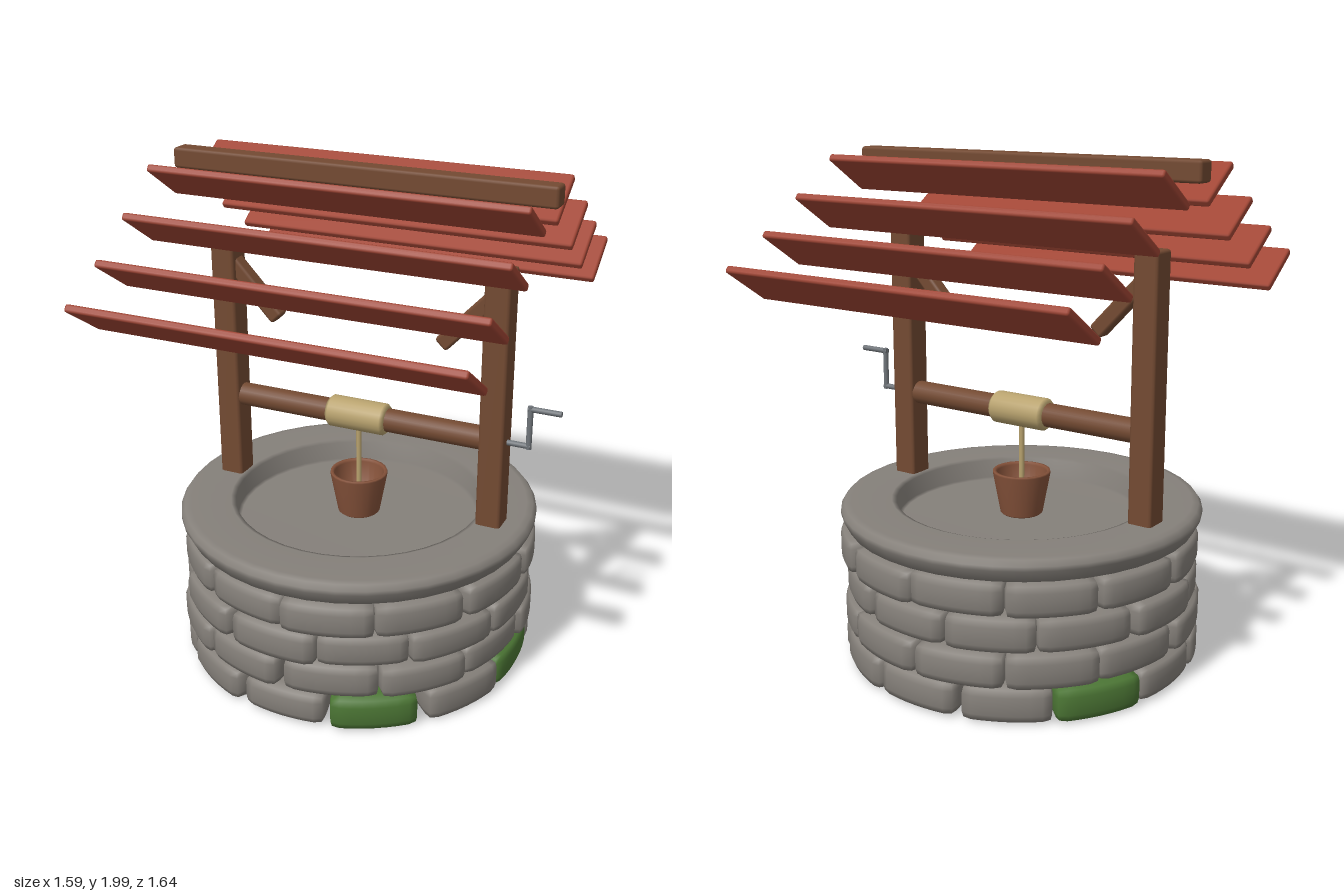
import * as THREE from 'three';
import { mergeVertices } from 'three/addons/utils/BufferGeometryUtils.js';
import { RoundedBoxGeometry } from 'three/addons/geometries/RoundedBoxGeometry.js';

const paint = (name, color) => Object.assign(new THREE.MeshStandardMaterial({ color }), { name });
const V2 = (x, y) => new THREE.Vector2(x, y);

// Small seeded generator, returns -1..1
function seeded(seed) {
  return () => {
    seed = (seed * 16807) % 2147483647;
    return (seed / 2147483647) * 2 - 1;
  };
}

// Rounded stone block, bent around the well's axis; its middle lies at radius r
function stoneGeometry(width, height, depth, r, round) {
  let g = new THREE.BoxGeometry(width, height, depth, 8, 4, 4);
  g.deleteAttribute('uv');
  g.deleteAttribute('normal');
  g = mergeVertices(g);
  const half = new THREE.Vector3(width, height, depth).multiplyScalar(0.5);
  const inner = half.clone().subScalar(round);
  const low = inner.clone().negate();
  const p = new THREE.Vector3(), core = new THREE.Vector3();
  const pos = g.attributes.position;
  for (let i = 0; i < pos.count; i++) {
    p.fromBufferAttribute(pos, i);
    core.copy(p).clamp(low, inner);
    p.sub(core);
    if (p.lengthSq() > 0) p.setLength(round);
    p.add(core);
    const a = p.x / (r + half.z);
    const rad = r + p.z;
    pos.setXYZ(i, Math.sin(a) * rad, p.y, Math.cos(a) * rad);
  }
  g.computeVertexNormals();
  return g;
}

export function createModel() {
  const root = new THREE.Group();
  root.name = 'well';
  const well = new THREE.Group();
  well.name = 'wellBody';
  well.position.x = -0.022;
  root.add(well);

  const stone = paint('stone', 0x85807a);
  const moss = paint('moss', 0x4b7534);
  const wood = paint('wood', 0x734a32);
  const roof = paint('roof', 0xa04534);
  const spoolTan = paint('rope', 0xb8a26e);
  const bucketBrown = paint('bucket', 0x85523a);
  bucketBrown.side = THREE.DoubleSide;
  const metal = paint('metal', 0x70757a);

  const add = (name, geometry, material, x = 0, y = 0, z = 0) => {
    const m = new THREE.Mesh(geometry, material);
    m.name = name;
    m.position.set(x, y, z);
    well.add(m);
    return m;
  };
  const beam = (w, h, d, bevel = 0.012) => new RoundedBoxGeometry(w, h, d, 1, bevel);

  // Stone wall: four staggered rings of twelve blocks
  const rnd = seeded(77);
  const perRow = 12, step = (Math.PI * 2) / perRow;
  const mossy = [1, 3, 8];
  for (let row = 0; row < 4; row++) {
    const offset = [0, 0.5, -0.15, 0.5][row];
    for (let i = 0; i < perRow; i++) {
      const g = stoneGeometry(0.37 + rnd() * 0.015, 0.138 + rnd() * 0.006, 0.2, 0.612 + rnd() * 0.012, 0.033);
      const isMoss = row === 0 && mossy.includes(i);
      const s = add(isMoss ? 'mossyStone' : 'wallStone', g, isMoss ? moss : stone, 0, 0.079 + row * 0.136, 0);
      s.rotation.y = (i + offset) * step + rnd() * 0.02;
    }
  }

  // Rim with a shallow recessed floor
  add('rim', new THREE.LatheGeometry([
    V2(0, 0.553), V2(0.66, 0.555), V2(0.695, 0.562), V2(0.72, 0.61), V2(0.72, 0.628),
    V2(0.705, 0.648), V2(0.68, 0.652), V2(0.52, 0.652), V2(0.5, 0.645), V2(0.495, 0.57),
    V2(0.48, 0.565), V2(0, 0.565)], 40), stone);

  // Posts and braces, mirrored
  for (const side of [-1, 1]) {
    add('post', beam(0.1, 1.13, 0.105), wood, side * 0.568, 1.115, 0);
    add('brace', beam(0.062, 0.3, 0.062), wood, side * 0.448, 1.465, 0).rotation.z = -side * 0.76;
  }

  // Ridge beam
  add('ridgeBeam', beam(1.54, 0.08, 0.082), wood, 0, 1.96, 0);

  // Roof slats, each tilted with its outer edge raised
  const slats = [[0.164, 1.906], [0.35, 1.768], [0.537, 1.643], [0.723, 1.534]];
  for (const side of [-1, 1]) {
    for (const [z, y] of slats) {
      const m = add('roofSlat', beam(1.488, 0.03, 0.228, 0.009), roof, rnd() * 0.005, y, side * z);
      m.rotation.x = -side * 0.6;
    }
  }

  // Axle and rope spool
  add('axle', new THREE.CylinderGeometry(0.047, 0.047, 1.08, 20), wood, 0, 1, 0).rotation.z = Math.PI / 2;
  add('ropeSpool', new THREE.LatheGeometry([
    V2(0, -0.126), V2(0.052, -0.126), V2(0.064, -0.112), V2(0.064, 0.112), V2(0.052, 0.126), V2(0, 0.126)], 20),
  spoolTan, 0, 1, 0).rotation.z = Math.PI / 2;
  add('rope', new THREE.CylinderGeometry(0.011, 0.011, 0.38, 10), spoolTan, 0, 0.77, 0);

  // Bucket, open at the top
  add('bucket', new THREE.LatheGeometry([
    V2(0, 0.576), V2(0.078, 0.576), V2(0.085, 0.582), V2(0.116, 0.748), V2(0.114, 0.755),
    V2(0.104, 0.755), V2(0.1, 0.745), V2(0.078, 0.6), V2(0, 0.6)], 24), bucketBrown);

  // Crank: shaft, arm and handle
  const rod = (name, length, x, y, flat) => {
    const m = add(name, new THREE.CylinderGeometry(0.011, 0.011, length, 10), metal, x, y, 0);
    if (flat) m.rotation.z = Math.PI / 2;
  };
  rod('crankShaft', 0.11, 0.655, 1, true);
  rod('crankArm', 0.174, 0.702, 1.076, false);
  rod('crankHandle', 0.13, 0.757, 1.152, true);

  return root;
}
